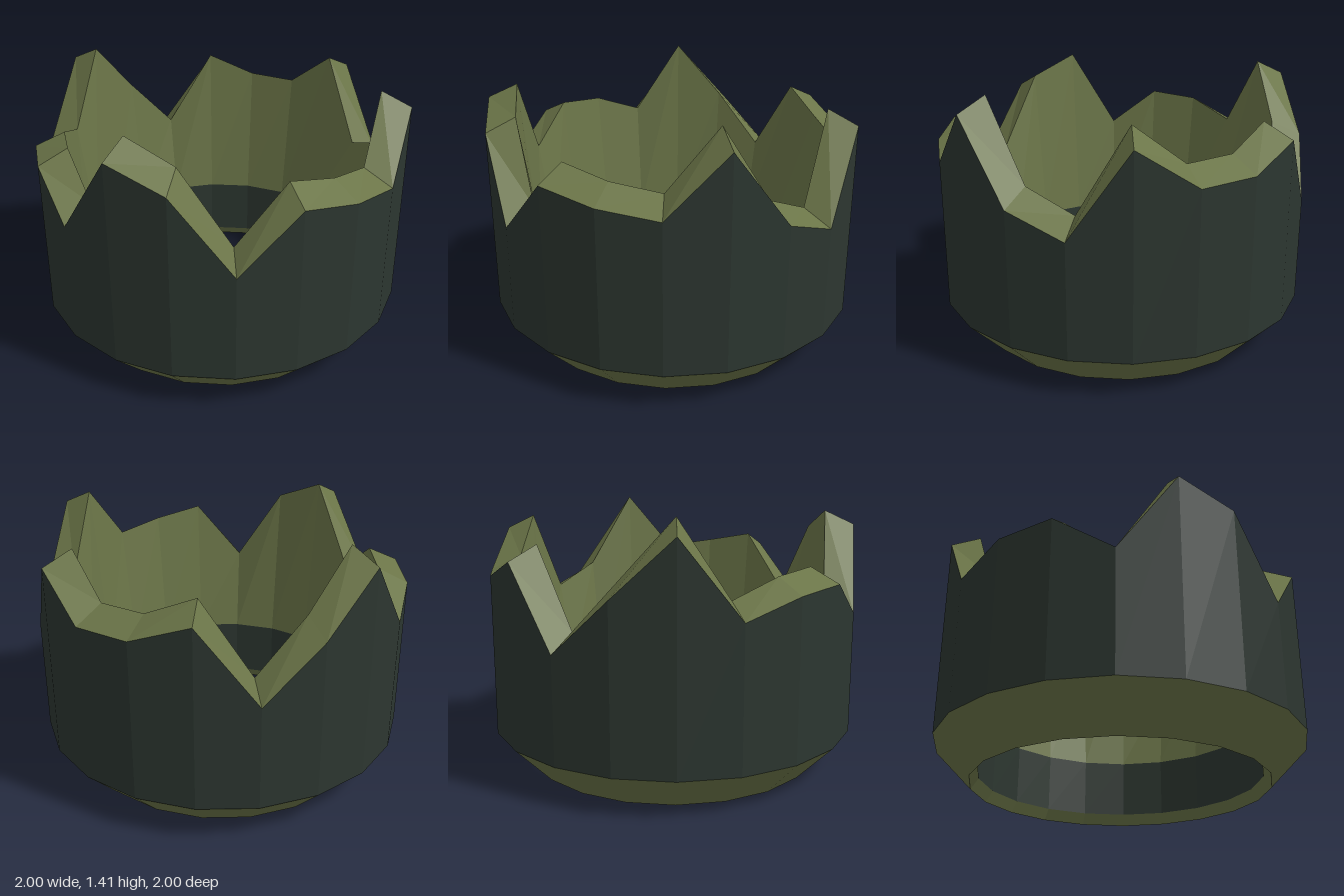
import * as THREE from 'three';

// Height of the broken outer edge at each of the 20 corners, starting at the front (+z) and turning towards +x
const EDGE = [1.05, 1.01, 1.325, 0.92, 0.81, 1.255, 1.055, 1.065, 1.175, 0.765,
  1.05, 1.34, 0.945, 1.04, 1.06, 0.86, 1.3, 1.19, 0.785, 1.1];
const SIDES = EDGE.length;

// A ring of corners; height is a number or a rule of the corner index
function ring(radius, height) {
  return EDGE.map((_, i) => {
    const a = (i / SIDES) * Math.PI * 2;
    const y = typeof height === 'function' ? height(i) : height;
    return [Math.sin(a) * radius, y, Math.cos(a) * radius];
  });
}

// Flat faces joining two rings
function band(name, from, to, material) {
  const points = [];
  for (let i = 0; i < SIDES; i++) {
    const j = (i + 1) % SIDES;
    points.push(...from[i], ...from[j], ...to[j], ...from[i], ...to[j], ...to[i]);
  }
  const geometry = new THREE.BufferGeometry();
  geometry.setAttribute('position', new THREE.Float32BufferAttribute(points, 3));
  geometry.computeVertexNormals();
  const mesh = new THREE.Mesh(geometry, material);
  mesh.name = name;
  return mesh;
}

export function createModel() {
  const dark = new THREE.MeshStandardMaterial({ color: 0x2c3630, flatShading: true });
  dark.name = 'darkGreen';
  const olive = new THREE.MeshStandardMaterial({ color: 0x6b7548, flatShading: true });
  olive.name = 'olive';

  const foot = ring(0.8, 0);
  const shoulder = ring(1, 0.205);
  const outerEdge = ring(1, (i) => EDGE[i]);
  const innerEdge = ring(0.84, (i) => EDGE[i] + 0.075);
  const collarTop = ring(0.76, 0.385);
  const collarBottom = ring(0.76, 0.06);

  const group = new THREE.Group();
  group.name = 'brokenRing';
  group.add(
    band('baseBevel', foot, shoulder, olive),
    band('outerWall', shoulder, outerEdge, dark),
    band('jaggedRim', outerEdge, innerEdge, olive),
    band('innerWall', innerEdge, collarTop, olive),
    band('innerCollar', collarTop, collarBottom, dark),
    band('footBevel', collarBottom, foot, olive),
  );
  return group;
}
